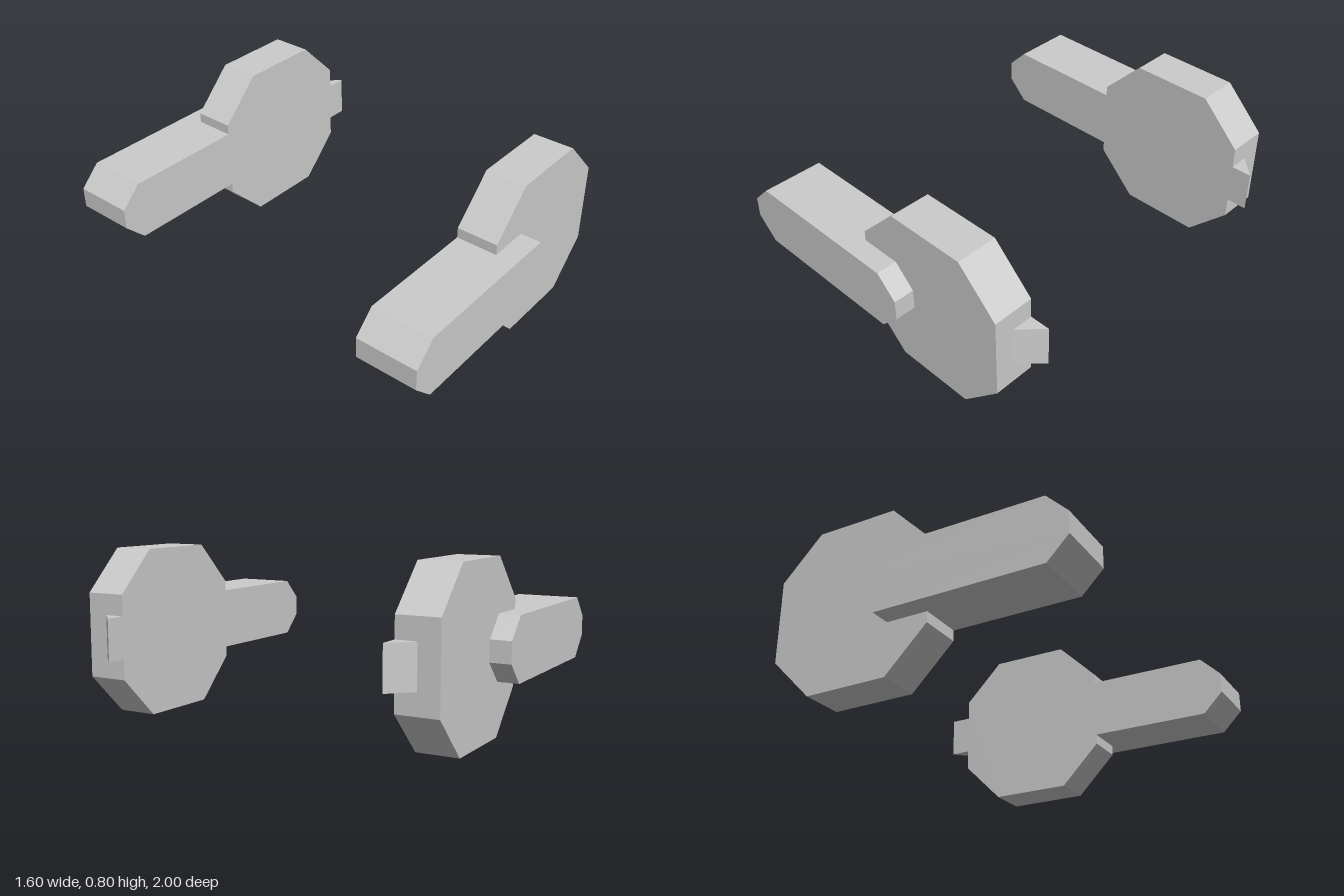
import * as THREE from 'three';

const material = new THREE.MeshStandardMaterial({ color: 0xcccccc, flatShading: true });

function prism(points, depth) {
  const shape = new THREE.Shape(points.map(([x, y]) => new THREE.Vector2(x, y)));
  return new THREE.ExtrudeGeometry(shape, { depth, bevelEnabled: false });
}

// Rectangle outline with 45-degree corner cuts, left and right separately
function chamfered(x0, x1, y0, y1, cutLeft, cutRight) {
  const l = cutLeft, r = cutRight;
  const left = l ? [[x0 + l, y1], [x0, y1 - l], [x0, y0 + l], [x0 + l, y0]] : [[x0, y1], [x0, y0]];
  const right = r ? [[x1 - r, y0], [x1, y0 + r], [x1, y1 - r], [x1 - r, y1]] : [[x1, y0], [x1, y1]];
  return [...left, ...right];
}

function createSide(side) {
  const group = new THREE.Group();
  group.name = side > 0 ? 'frontAssembly' : 'backAssembly';

  const add = (name, geometry) => {
    const mesh = new THREE.Mesh(geometry, material);
    mesh.name = name;
    group.add(mesh);
  };
  // Slab between two distances from the middle plane
  const slab = (name, outline, near, far) =>
    add(name, prism(outline, far - near).translate(0, 0, side > 0 ? near : -far));

  // Octagonal plate
  slab('octagonPlate', chamfered(-0.1, 0.7, 0, 0.8, 0.2, 0.2), 0.7, 0.9);

  // Arm: shank butting against the plate, and full-length outer layer lying over it
  slab('armShank', chamfered(-0.8, -0.1, 0.25, 0.55, 0.1, 0), 0.7, 0.9);
  slab('armOuter', chamfered(-0.8, 0.2, 0.25, 0.55, 0.1, 0.1), 0.9, 1);

  // Wedge tooth on the plate's edge, flush with its inner face
  const wedge = prism([[0.7, -0.7 * side], [0.8, -0.7 * side], [0.7, -0.8 * side]], 0.2);
  add('wedgeTooth', wedge.rotateX(-Math.PI / 2).translate(0, 0.3, 0));

  return group;
}

export function createModel() {
  const model = new THREE.Group();
  model.name = 'pairedArms';
  for (const side of [1, -1]) model.add(createSide(side));
  return model;
}
